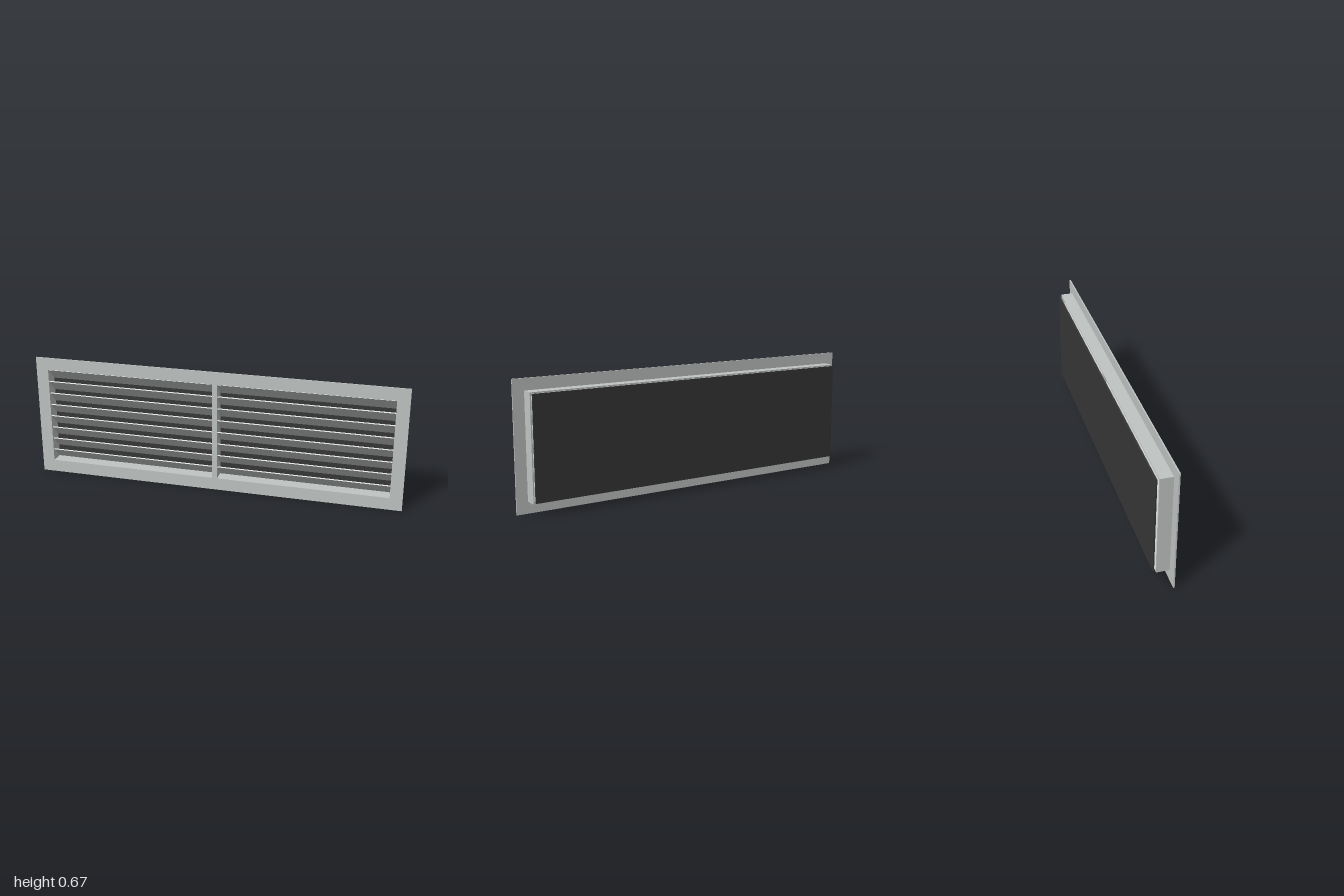
import * as THREE from 'three';

export function createModel() {
  const group = new THREE.Group();
  const aluminium = new THREE.MeshStandardMaterial({ color: 0xc0c4c3 });
  aluminium.name = 'light grey metal';
  const mesh = new THREE.MeshStandardMaterial({ color: 0x383737 });
  mesh.name = 'dark backing';

  const H = 0.667, MID = H / 2;
  const IN_W = 1.867, IN_H = 0.533; // clear opening
  const WALL = 0.0067, FRONT = 0.0445, SEAT = 0.0375, BACK = -0.029;

  // Rectangular ring with an opening, extruded from z0 to z1
  function ring(name, w, h, z0, z1) {
    const rect = (T, rw, rh) => new T([
      new THREE.Vector2(-rw / 2, -rh / 2), new THREE.Vector2(rw / 2, -rh / 2),
      new THREE.Vector2(rw / 2, rh / 2), new THREE.Vector2(-rw / 2, rh / 2),
    ]);
    const shape = rect(THREE.Shape, w, h);
    shape.holes.push(rect(THREE.Path, IN_W, IN_H));
    const geo = new THREE.ExtrudeGeometry(shape, { depth: z1 - z0, bevelEnabled: false });
    const m = new THREE.Mesh(geo, aluminium);
    m.name = name;
    m.position.set(0, MID, z0);
    group.add(m);
  }

  function box(name, w, h, d, x, y, z, mat) {
    const m = new THREE.Mesh(new THREE.BoxGeometry(w, h, d), mat);
    m.name = name;
    m.position.set(x, y, z);
    group.add(m);
    return m;
  }

  // Front flange and the sleeve behind it
  ring('flange', 2, H, SEAT, FRONT);
  ring('sleeve', IN_W + 2 * WALL, IN_H + 2 * WALL, BACK, SEAT);

  // Centre divider
  const DIV = 0.027;
  box('divider', DIV, IN_H, FRONT - BACK, 0, MID, (FRONT + BACK) / 2, aluminium);

  // Slanted blades, high at the front and low at the back
  const COUNT = 8, pitch = IN_H / COUNT, t = 0.006;
  const length = pitch * Math.SQRT2 - t;
  const bladeW = (IN_W - DIV) / 2;
  for (const side of [-1, 1]) {
    for (let i = 0; i < COUNT; i++) {
      const y = MID - IN_H / 2 + pitch * (i + 0.5);
      const blade = box('blade', bladeW, t, length, side * (DIV + bladeW) / 2, y, (SEAT + BACK) / 2, aluminium);
      blade.rotation.x = -Math.PI / 4;
    }
  }

  // Backing panel, set slightly behind the sleeve
  box('backingPanel', IN_W, IN_H, 0.0075, 0, MID, -0.0405, mesh);

  return group;
}
